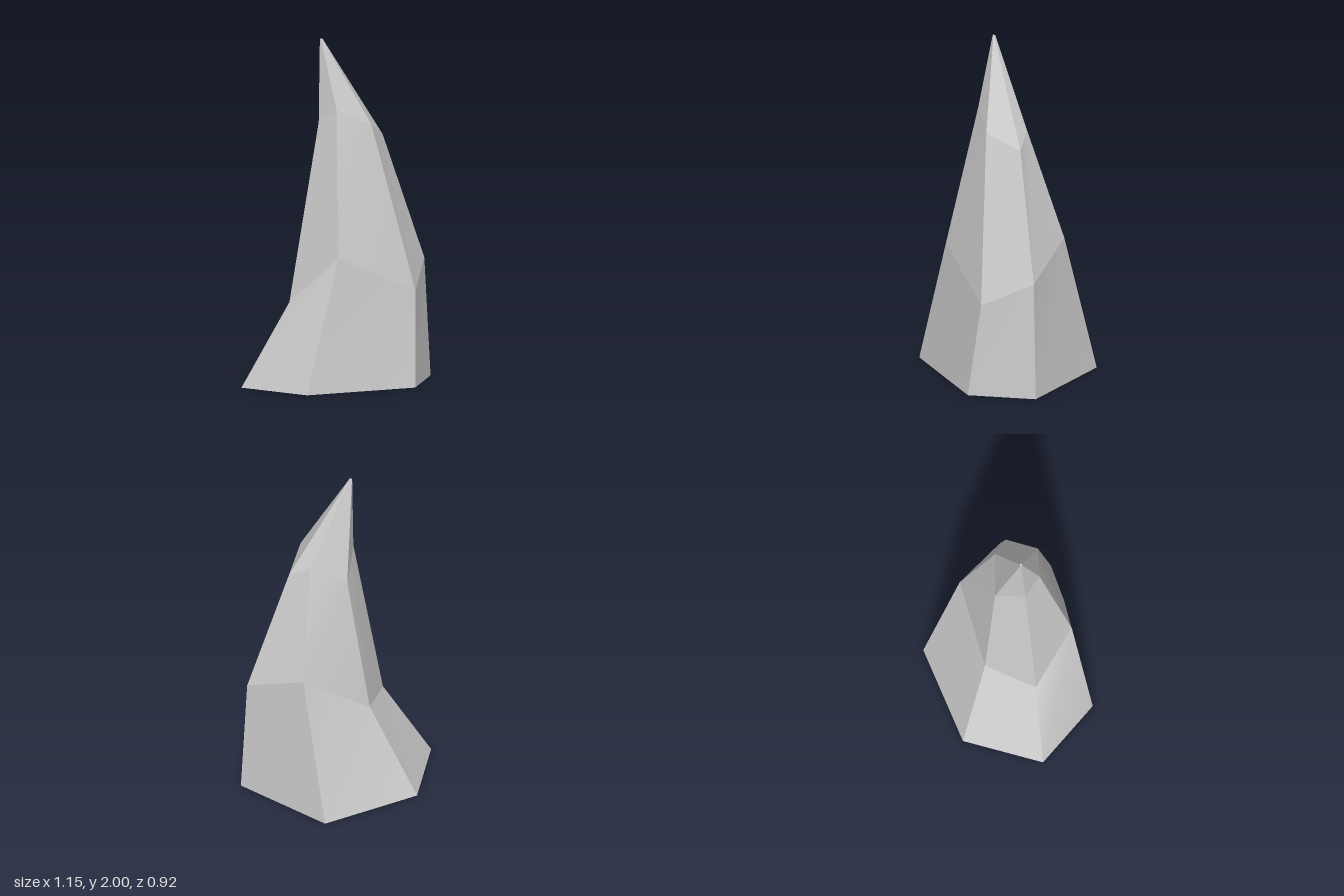
import * as THREE from 'three';

// Six-sided cross-sections from the ground up, corners as [x, y, z]
const base = [[0.572, 0, 0.03], [0.39, 0, 0.38], [-0.272, 0, 0.458], [-0.575, 0, 0.13], [-0.385, 0, -0.308], [0.195, 0, -0.46]];
const middle = [[0.535, 0.69, 0.03], [0.41, 0.55, 0.307], [-0.062, 0.77, 0.365], [-0.29, 0.485, 0.127], [-0.145, 0.55, -0.148], [0.27, 0.85, -0.24]];
const upper = [[0.288, 1.42, 0.03], [0.178, 1.51, 0.2], [-0.024, 1.6, 0.182], [-0.107, 1.52, 0.092], [-0.03, 1.38, -0.075], [0.18, 1.5, -0.045]];
const tip = base.map(([x, , z]) => [-0.086 + x * 0.015, 2, 0.068 + z * 0.015]);

function createRockGeometry(rings) {
  const positions = [];
  const indices = [];
  const addCorners = (...corners) => {
    const first = positions.length / 3;
    corners.forEach((c) => positions.push(...c));
    return first;
  };

  // Each facet owns its four corners, so edges between facets stay sharp
  for (let r = 0; r < rings.length - 1; r++) {
    for (let i = 0; i < 6; i++) {
      const j = (i + 1) % 6;
      const n = addCorners(rings[r][i], rings[r][j], rings[r + 1][i], rings[r + 1][j]);
      indices.push(n, n + 2, n + 1, n + 1, n + 2, n + 3);
    }
  }

  // Underside and tiny flat tip
  const bottom = addCorners(...rings[0]);
  const top = addCorners(...rings[rings.length - 1]);
  for (let i = 1; i < 5; i++) {
    indices.push(bottom, bottom + i, bottom + i + 1);
    indices.push(top, top + i + 1, top + i);
  }

  const geometry = new THREE.BufferGeometry();
  geometry.setAttribute('position', new THREE.Float32BufferAttribute(positions, 3));
  geometry.setIndex(indices);
  geometry.computeVertexNormals();
  return geometry;
}

export function createModel() {
  const group = new THREE.Group();
  group.name = 'rockSpire';
  const rock = new THREE.Mesh(
    createRockGeometry([base, middle, upper, tip]),
    new THREE.MeshStandardMaterial({ color: 0xcccccc })
  );
  rock.name = 'spire';
  group.add(rock);
  return group;
}
